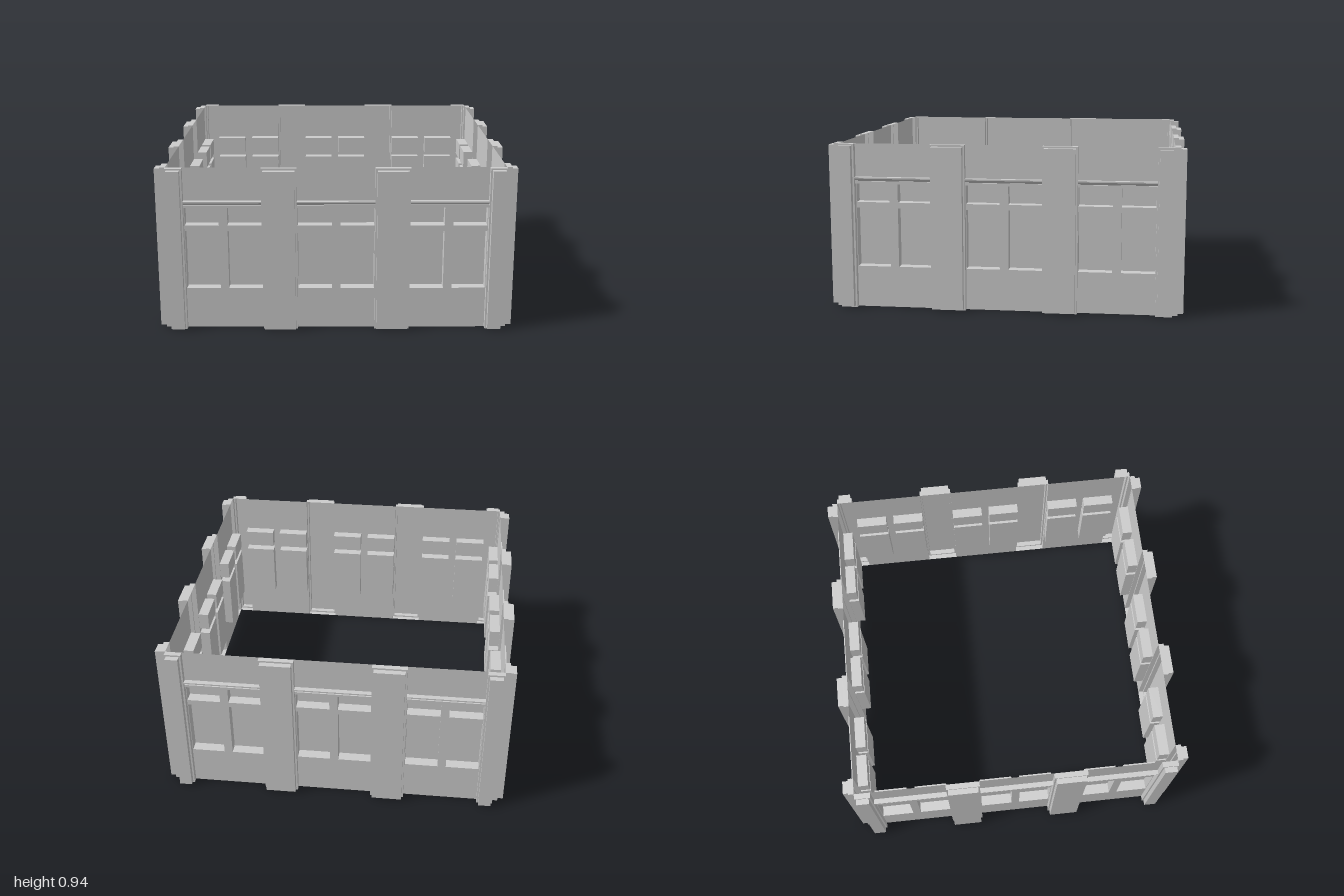
import * as THREE from 'three';

const WALL = 0.937, STEP = 0.968, FRONT = 1, RECESS = 0.877, H = 0.938;

export function createModel() {
  const mat = new THREE.MeshStandardMaterial({ color: 0xcccccc, side: THREE.DoubleSide, flatShading: true });
  const add = (parent, name, geo) => {
    const m = new THREE.Mesh(geo, mat);
    m.name = name;
    parent.add(m);
    return m;
  };

  // Box shell between two corners with chosen faces left out (4 = front, 5 = back)
  function shell(x0, x1, y0, y1, z0, z1, dropped) {
    const g = new THREE.BoxGeometry(x1 - x0, y1 - y0, z1 - z0);
    g.translate((x0 + x1) / 2, (y0 + y1) / 2, (z0 + z1) / 2);
    const idx = Array.from(g.index.array).filter((_, i) => !dropped.includes(Math.floor(i / 6)));
    g.setIndex(idx);
    g.clearGroups();
    return g;
  }

  // Flat sheet with rectangular openings, each given as [x0, x1, y0, y1]
  function sheet([x0, x1, y0, y1], holes, z) {
    const rect = (T, a, b, c, d) => {
      const p = new T();
      p.moveTo(a, c);
      p.lineTo(b, c);
      p.lineTo(b, d);
      p.lineTo(a, d);
      p.closePath();
      return p;
    };
    const s = rect(THREE.Shape, x0, x1, y0, y1);
    holes.forEach(h => s.holes.push(rect(THREE.Path, ...h)));
    return new THREE.ShapeGeometry(s).translate(0, 0, z);
  }

  // Moulding profile (z, y) swept along x
  function moulding(x0, x1) {
    const pts = [[WALL, 0.75], [0.966, 0.75], [0.966, 0.742], [0.945, 0.727], [0.955, 0.727], [0.955, 0.712], [WALL, 0.712]];
    const s = new THREE.Shape(pts.map(([z, y]) => new THREE.Vector2(-z, y)));
    const g = new THREE.ExtrudeGeometry(s, { depth: x1 - x0, bevelEnabled: false });
    return g.rotateY(Math.PI / 2).translate(x0, 0, 0);
  }

  // Stepped hollow pilaster
  function pilaster(x0, x1) {
    const g = new THREE.Group();
    g.name = 'pilaster';
    const a = x0 + 0.01, b = x1 - 0.01, lo = 0.01, hi = 0.928;
    add(g, 'pilasterBase', shell(x0, x1, 0, H, WALL, STEP, [4, 5]));
    add(g, 'pilasterRim', sheet([x0, x1, 0, H], [[a, b, lo, hi]], STEP));
    add(g, 'pilasterFace', shell(a, b, lo, hi, STEP, FRONT, [5]));
    return g;
  }

  // Wall bay with two windows, each split by a crossbar
  function bay(cx) {
    const g = new THREE.Group();
    g.name = 'wallBay';
    const x0 = cx - 0.2165, x1 = cx + 0.2165;
    const holes = [];
    for (const [a, b] of [[x0 + 0.003, cx - 0.024], [cx + 0.024, x1 - 0.003]])
      for (const [c, d] of [[0.235, 0.573], [0.605, 0.71]]) {
        holes.push([a, b, c, d]);
        add(g, 'windowRecess', shell(a, b, c, d, RECESS, WALL, [4]));
      }
    add(g, 'wallPanel', sheet([x0, x1, 0, H], holes, WALL));
    add(g, 'moulding', moulding(x0, x1));
    return g;
  }

  // Four identical walls around the open middle
  const model = new THREE.Group();
  model.name = 'walls';
  ['frontWall', 'leftWall', 'backWall', 'rightWall'].forEach((name, i) => {
    const wall = new THREE.Group();
    wall.name = name;
    for (const cx of [-0.628, 0, 0.628]) wall.add(bay(cx));
    for (const [a, b] of [[-WALL, -0.8445], [-0.4115, -0.2165], [0.2165, 0.4115], [0.8445, WALL]])
      wall.add(pilaster(a, b));
    wall.rotation.y = i * Math.PI / 2;
    model.add(wall);
  });
  return model;
}
